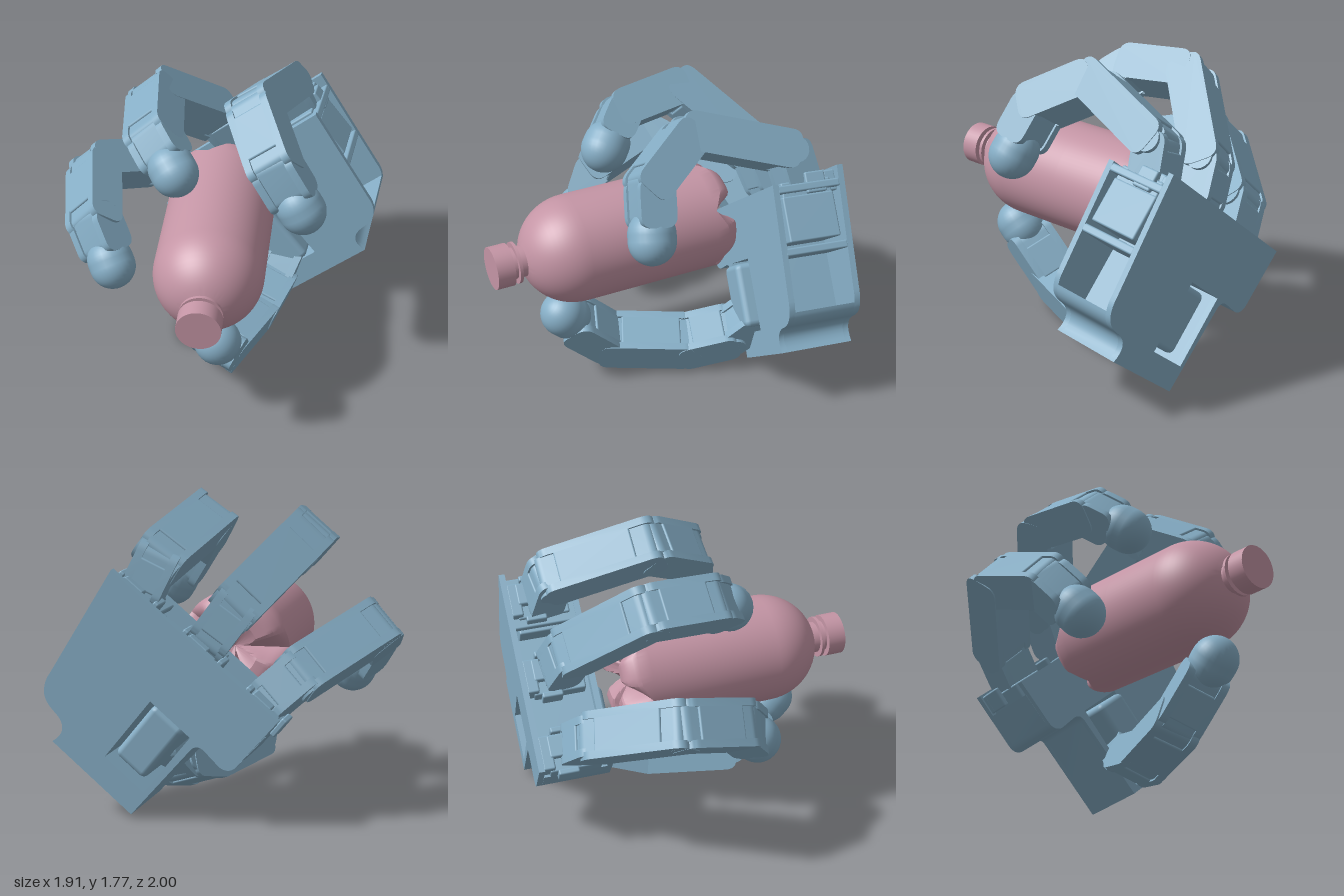
import * as THREE from 'three';
import { toCreasedNormals } from 'three/addons/utils/BufferGeometryUtils.js';
import { RoundedBoxGeometry } from 'three/addons/geometries/RoundedBoxGeometry.js';

const V = (x, y, z) => new THREE.Vector3(x, y, z);
const blue = new THREE.MeshStandardMaterial({ color: 0x86aec6 });
const pink = new THREE.MeshStandardMaterial({ color: 0xc495a5 });

function add(parent, name, geometry, material = blue) {
  const mesh = new THREE.Mesh(geometry, material);
  mesh.name = name;
  parent.add(mesh);
  return mesh;
}

function extrude(shape, depth, z = 0) {
  const g = new THREE.ExtrudeGeometry(shape, { depth, bevelEnabled: false, curveSegments: 8 });
  return toCreasedNormals(g.translate(0, 0, z), 0.6);
}

function box(parent, name, w, h, d, x, y, z, r = 0.01) {
  const m = add(parent, name, new RoundedBoxGeometry(w, h, d, 2, r));
  m.position.set(x, y, z);
  return m;
}

function roundedRect(x0, x1, h, r) {
  const s = new THREE.Shape(), y = h / 2;
  s.moveTo(x0 + r, -y);
  s.lineTo(x1 - r, -y).quadraticCurveTo(x1, -y, x1, -y + r);
  s.lineTo(x1, y - r).quadraticCurveTo(x1, y, x1 - r, y);
  s.lineTo(x0 + r, y).quadraticCurveTo(x0, y, x0, y - r);
  s.lineTo(x0, -y + r).quadraticCurveTo(x0, -y, x0 + r, -y);
  return s;
}

// One finger segment: core, two side cheeks, raised cover and hinge pin
function link(parent, name, a, b, axis, width = 0.27, height = 0.22) {
  const g = new THREE.Group();
  g.name = name;
  const dir = b.clone().sub(a), L = dir.length();
  dir.normalize();
  const up = axis.clone().cross(dir).normalize();
  g.quaternion.setFromRotationMatrix(
    new THREE.Matrix4().makeBasis(dir, up, dir.clone().cross(up)));
  g.position.copy(a);
  const core = width - 0.08;
  add(g, 'core', extrude(roundedRect(-0.05, L + 0.05, height - 0.025, 0.05), core, -core / 2));
  for (const s of [-1, 1])
    add(g, 'cheek', extrude(roundedRect(-0.03, L + 0.07, height, 0.07), 0.045,
      s * (width / 2 - 0.0225) - 0.0225));
  if (L > 0.2) box(g, 'cover', L * 0.75, height, width - 0.07, L * 0.5, 0, 0);
  const pin = add(g, 'hingePin', new THREE.CylinderGeometry(0.075, 0.075, width - 0.01, 20));
  pin.rotation.x = Math.PI / 2;
  parent.add(g);
}

// Chain of segments through the joints, ending in a round fingertip
function finger(parent, name, joints) {
  const g = new THREE.Group();
  g.name = name;
  const [j0, j1, j2, j3, tip] = joints.map(p => V(...p));
  const bend = name === 'thumb' ? j3 : j2;
  const axis = bend.clone().sub(j0).cross(tip.clone().sub(bend)).normalize();
  link(g, 'knuckle', j0, j1, axis, 0.23, 0.2);
  link(g, 'lowerSegment', j1, j2, axis);
  link(g, 'middleSegment', j2, j3, axis);
  const dir = tip.clone().sub(j3), len = dir.length();
  dir.normalize();
  link(g, 'upperSegment', j3, j3.clone().addScaledVector(dir, len - 0.14), axis, 0.26, 0.21);
  const pad = add(g, 'fingertip', new THREE.CapsuleGeometry(0.136, 0.04, 10, 28).translate(0, -0.02, 0));
  pad.quaternion.setFromUnitVectors(V(0, 1, 0), dir);
  pad.position.copy(tip);
  parent.add(g);
}

// Palm outline; top is the finger edge, inset recesses the open side
function palmShape(top, inset) {
  const s = new THREE.Shape();
  s.moveTo(0.365, -0.28);
  s.lineTo(0.96, -0.28);
  s.bezierCurveTo(0.93, -0.2, 0.96, -0.15, 1.04, -0.14);
  s.bezierCurveTo(1.12, -0.135, 1.165, -0.11, 1.185, -0.065);
  if (inset) s.lineTo(0.92, -0.065).lineTo(0.92, top);
  else s.quadraticCurveTo(1.205, -0.03, 1.207, 0.02).lineTo(1.205 + 0.12 * top, top);
  s.lineTo(0.09, top);
  s.lineTo(0.1, 0.36);
  s.quadraticCurveTo(0.105, 0.295, 0.17, 0.29);
  s.lineTo(0.29, 0.3);
  s.quadraticCurveTo(0.34, 0.3, 0.345, 0.25);
  s.closePath();
  // Opening for the thumb motor
  s.holes.push(new THREE.Path([[0.39, -0.13], [0.39, 0.3], [0.68, 0.3], [0.68, -0.13]]
    .map(p => new THREE.Vector2(...p))));
  return s;
}

function palm() {
  const g = new THREE.Group();
  g.name = 'palm';
  const n = V(-0.105, 0.0465, 0.993).normalize();
  const v = n.clone().cross(V(0.766, 0.643, 0.051)).normalize();
  g.quaternion.setFromRotationMatrix(new THREE.Matrix4().makeBasis(v.clone().cross(n), v, n));
  g.position.z = -0.928;
  add(g, 'backPlate', extrude(palmShape(0.714, false), 0.035));
  add(g, 'palmBody', extrude(palmShape(0.57, true), 0.37, 0.035));
  add(g, 'frontPlate', extrude(palmShape(0.65, false), 0.035, 0.4));
  // Side frame
  for (const y of [0.27, 0.62]) box(g, 'sideBar', 0.31, 0.045, 0.38, 1.05 + y * 0.12, y, 0.22);
  box(g, 'sideMotor', 0.29, 0.26, 0.31, 1.1, 0.45, 0.22);
  // Stepped finger brackets
  for (const x of [0.2, 0.66, 1.13]) {
    box(g, 'bracket', 0.22, 0.1, 0.3, x, 0.61, 0.22);
    box(g, 'bracketBase', 0.2, 0.12, 0.07, x, 0.64, 0.065);
    box(g, 'bracketStep', 0.13, 0.09, 0.1, x + 0.03, 0.66, 0.13);
    for (const s of [-1, 1]) box(g, 'bracketLug', 0.035, 0.12, 0.12, x + s * 0.125, 0.64, 0.17);
  }
  // Thumb motor
  box(g, 'thumbMotor', 0.22, 0.38, 0.47, 0.55, 0.09, 0.275, 0.035);
  return g;
}

function bottle() {
  const g = new THREE.Group();
  g.name = 'bottle';
  const pts = [];
  for (let i = 0; i <= 9; i++) pts.push([0.001 + i * 0.026, -0.43]);
  pts.push([0.262, -0.42], [0.285, -0.4], [0.302, -0.375],
    [0.315, -0.35], [0.315, -0.28], [0.315, 0.1], [0.315, 0.5]);
  for (let i = 1; i <= 12; i++) {
    const a = i / 12 * 1.28;
    pts.push([0.315 * Math.cos(a), 0.5 + 0.325 * Math.sin(a)]);
  }
  const body = new THREE.LatheGeometry(pts.map(p => new THREE.Vector2(...p)), 80).rotateX(Math.PI / 2);
  // Press five V grooves and a centre dome into the base
  const pos = body.attributes.position, step = Math.PI * 0.4;
  for (let i = 0; i < pos.count; i++) {
    const x = pos.getX(i), y = pos.getY(i), z = pos.getZ(i);
    if (z > -0.28) continue;
    const k = (Math.atan2(y, x) - Math.PI) / step;
    const groove = 1 - Math.abs(k - Math.round(k)) * step / 0.34;
    const dome = 1 - Math.hypot(x, y) / 0.16;
    const squash = 1 - 0.83 * Math.max(0, groove, dome);
    pos.setZ(i, -0.28 + (z + 0.28) * squash);
  }
  add(g, 'bottleBody', toCreasedNormals(body, 0.5), pink);
  const disc = (name, r, z0, z1) => add(g, name,
    new THREE.CylinderGeometry(r, r, z1 - z0, 40).rotateX(Math.PI / 2).translate(0, 0, (z0 + z1) / 2), pink);
  disc('neck', 0.092, 0.78, 0.92);
  disc('neckRing', 0.122, 0.85, 0.868);
  disc('cap', 0.125, 0.895, 1);
  g.position.y = 0.88;
  return g;
}

export function createModel() {
  const model = new THREE.Group();
  model.name = 'roboticHandHoldingBottle';
  model.add(bottle(), palm());
  finger(model, 'indexFinger', [[0.43, 1.22, -0.72], [0.34, 1.41, -0.69],
    [0.19, 1.59, -0.13], [0.33, 1.42, 0.17], [0.5, 1.16, 0.23]]);
  finger(model, 'middleFinger', [[0.04, 0.98, -0.75], [-0.09, 1.16, -0.71],
    [-0.41, 1.515, -0.35], [-0.37, 1.48, 0.03], [-0.225, 1.34, 0.2]]);
  finger(model, 'ringFinger', [[-0.28, 0.66, -0.75], [-0.44, 0.8, -0.69],
    [-0.79, 1.01, -0.3], [-0.73, 0.89, 0.07], [-0.6, 0.675, 0.23]]);
  finger(model, 'thumb', [[0.38, 0.34, -0.5], [0.31, 0.2, -0.38],
    [0.22, 0.14, -0.14], [0.05, 0.175, 0.3], [0.06, 0.475, 0.6]]);
  return model;
}
